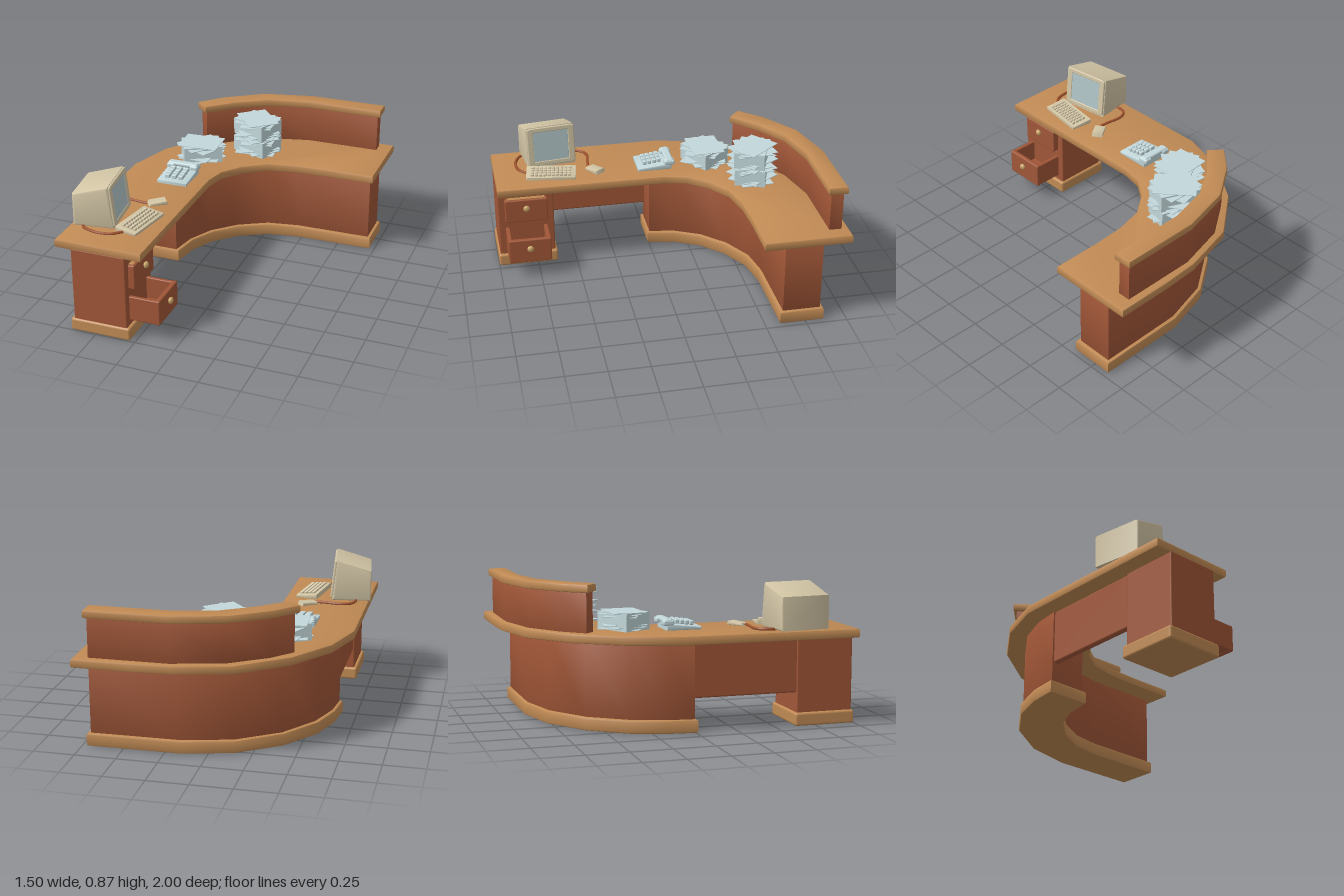
import * as THREE from 'three';
import { toCreasedNormals } from 'three/addons/utils/BufferGeometryUtils.js';
import { RoundedBoxGeometry } from 'three/addons/geometries/RoundedBoxGeometry.js';

const mat = (name, color, side = THREE.FrontSide) => {
  const m = new THREE.MeshStandardMaterial({ color, side });
  m.name = name;
  return m;
};

export function createModel() {
  const trim = mat('light wood', 0xc08a54);
  const wood = mat('red wood', 0xa05637);
  const beige = mat('beige plastic', 0xd2c5a5);
  const pale = mat('pale blue', 0xc2d7da);
  const glass = mat('screen glass', 0xb0c4c6);
  const brass = mat('brass', 0xc9a468);
  const cord = mat('cord', 0xa0522d);

  const root = new THREE.Group();
  root.name = 'receptionDesk';
  const add = (name, geo, m, parent = root, x = 0, y = 0, z = 0) => {
    const mesh = new THREE.Mesh(geo, m);
    mesh.name = name;
    mesh.position.set(x, y, z);
    parent.add(mesh);
    return mesh;
  };
  const group = (name, x, y, z, turn) => {
    const g = new THREE.Group();
    g.name = name;
    g.position.set(x, y, z);
    g.rotation.y = turn;
    root.add(g);
    return g;
  };
  const extrude = (pts, depth, bevel) => {
    const shape = new THREE.Shape(pts.map(p => new THREE.Vector2(p[0], p[1])));
    const g = new THREE.ExtrudeGeometry(shape, {
      depth: depth - 2 * bevel, bevelEnabled: bevel > 0, bevelThickness: bevel,
      bevelSize: bevel, bevelOffset: -bevel, bevelSegments: 2,
    });
    return g.translate(0, 0, bevel);
  };
  // Slab from a plan outline of [x, z] points between two heights
  const slab = (plan, y0, y1, bevel) => {
    const g = extrude(plan.map(([x, z]) => [x, -z]), y1 - y0, bevel);
    return toCreasedNormals(g.rotateX(-Math.PI / 2).translate(0, y0, 0), 0.65);
  };
  // Block with a side profile of [x, y] points, centred along z
  const block = (profile, depth, bevel) =>
    toCreasedNormals(extrude(profile, depth, bevel).translate(0, 0, -depth / 2), 0.5);
  const box = (x, y, z, r) => new RoundedBoxGeometry(x, y, z, 2, r);

  // Curved worktop
  add('worktop', slab([
    [-0.74, 0.99], [-0.74, -0.13], [-0.65, -0.42], [-0.46, -0.69], [-0.17, -0.91],
    [0.17, -0.99], [0.4, -1], [0.75, -1], [0.75, -0.47], [0.45, -0.47], [0.24, -0.46],
    [0.06, -0.42], [-0.08, -0.32], [-0.17, -0.2], [-0.2, -0.06], [-0.2, 0.99],
  ], 0.53, 0.585, 0.012), trim);

  // Curved base cabinet with skirting
  const ribbon = (outer, inner) => [...outer, ...inner.slice().reverse()];
  add('curvedCabinet', slab(ribbon(
    [[-0.64, -0.005], [-0.62, -0.17], [-0.55, -0.37], [-0.39, -0.59], [-0.14, -0.76], [0.16, -0.835], [0.7, -0.84]],
    [[-0.41, -0.005], [-0.38, -0.17], [-0.3, -0.33], [-0.16, -0.47], [0.02, -0.57], [0.22, -0.605], [0.7, -0.61]],
  ), 0.06, 0.54, 0.005), wood);
  add('curvedSkirting', slab(ribbon(
    [[-0.66, 0.01], [-0.64, -0.175], [-0.57, -0.38], [-0.405, -0.605], [-0.148, -0.78], [0.158, -0.857], [0.72, -0.86]],
    [[-0.39, 0.01], [-0.36, -0.165], [-0.285, -0.315], [-0.148, -0.453], [0.028, -0.55], [0.222, -0.585], [0.72, -0.59]],
  ), 0, 0.08, 0.012), trim);

  // Raised counter at the back
  add('hutchWall', slab(ribbon(
    [[-0.46, -0.605], [-0.345, -0.73], [-0.122, -0.88], [0.19, -0.955], [0.66, -0.955]],
    [[-0.41, -0.555], [-0.265, -0.69], [-0.075, -0.815], [0.195, -0.88], [0.66, -0.88]],
  ), 0.58, 0.825, 0.004), wood);
  add('hutchTop', slab(ribbon(
    [[-0.49, -0.605], [-0.36, -0.745], [-0.13, -0.9], [0.19, -0.975], [0.68, -0.975]],
    [[-0.41, -0.535], [-0.25, -0.68], [-0.06, -0.8], [0.2, -0.86], [0.68, -0.86]],
  ), 0.82, 0.87, 0.012), trim);

  // Drawer pedestal and back panel
  add('pedestal', box(0.34, 0.48, 0.355, 0.008), wood, root, -0.47, 0.3, 0.812);
  add('pedestalSkirting', box(0.38, 0.08, 0.38, 0.014), trim, root, -0.47, 0.04, 0.81);
  add('modestyPanel', box(0.04, 0.335, 0.66, 0.012), wood, root, -0.61, 0.3675, 0.315);

  // Drawers: open trays with a thick front and a round knob
  const drawer = (name, y0, y1, reach, knobY) => {
    const g = group(name, -0.3, y0, 0.812, 0);
    const h = y1 - y0;
    add('drawerFront', box(0.03, h, 0.27, 0.008), wood, g, reach - 0.015, h / 2, 0);
    add('drawerFloor', new THREE.BoxGeometry(reach, 0.015, 0.25), wood, g, reach / 2 - 0.01, 0.012, 0);
    for (const s of [-1, 1])
      add('drawerSide', box(reach, h - 0.005, 0.025, 0.006), wood, g, reach / 2 - 0.008, h / 2, s * 0.122);
    add('knobStem', new THREE.CylinderGeometry(0.008, 0.008, 0.02, 10).rotateZ(Math.PI / 2), brass, g, reach + 0.004, knobY - y0, 0);
    add('knob', new THREE.SphereGeometry(0.021, 14, 10).scale(0.7, 1, 1), brass, g, reach + 0.014, knobY - y0, 0);
    return g;
  };
  drawer('lowerDrawer', 0.11, 0.27, 0.19, 0.212);
  const upper = drawer('upperDrawer', 0.32, 0.475, 0.04, 0.42);
  add('drawerLip', new THREE.BoxGeometry(0.03, 0.012, 0.24), trim, upper, 0.012, 0.152, 0);

  // Monitor with sloping top and leaning screen
  const monitor = group('monitor', -0.615, 0.585, 0.63, 0.13);
  add('monitorCase', block([[-0.12, 0.004], [0.13, 0.004], [0.102, 0.272], [-0.12, 0.205]], 0.32, 0.014), beige, monitor);
  const tilt = 0.104;
  const face = new THREE.Group();
  face.name = 'monitorFace';
  face.position.set(0.117, 0.142, 0);
  face.rotation.z = tilt;
  monitor.add(face);
  for (const s of [-1, 1]) {
    add('bezelUpright', box(0.016, 0.245, 0.04, 0.006), beige, face, 0.002, 0, s * 0.133);
    add('bezelRail', box(0.016, 0.03, 0.28, 0.006), beige, face, 0.002, s * 0.112, 0);
  }
  add('screen', box(0.009, 0.205, 0.23, 0.004), glass, face, 0.002, 0, 0);

  // Keyboard with rows of keys
  const keyboard = group('keyboard', -0.36, 0.585, 0.635, -0.15);
  add('keyboardCase', block([[-0.07, 0], [0.07, 0], [0.07, 0.016], [-0.07, 0.032]], 0.315, 0.005), beige, keyboard);
  const key = box(0.02, 0.016, 0.02, 0.004);
  for (let i = 0; i < 4; i++)
    for (let j = 0; j < 10; j++)
      add('key', key, beige, keyboard, -0.036 + i * 0.026, 0.033 - i * 0.003, -0.117 + j * 0.026);

  // Mouse and cords
  const mouse = group('mouse', -0.37, 0.585, 0.355, 0.6);
  add('mouseBody', block([[-0.058, 0], [0.058, 0], [0.05, 0.024], [-0.05, 0.016]], 0.072, 0.006), beige, mouse);
  const cords = {
    mouseCord: [[-0.42, 0.39], [-0.49, 0.385], [-0.58, 0.375], [-0.64, 0.4], [-0.66, 0.45], [-0.65, 0.52]],
    keyboardCord: [[-0.4, 0.785], [-0.45, 0.83], [-0.53, 0.845], [-0.6, 0.83], [-0.65, 0.8], [-0.65, 0.76]],
  };
  for (const [name, pts] of Object.entries(cords)) {
    const path = new THREE.CatmullRomCurve3(pts.map(([x, z]) => new THREE.Vector3(x, 0.594, z)));
    add(name, new THREE.TubeGeometry(path, 28, 0.009, 6), cord);
  }

  // Telephone: wedge body (long side across x), handset and keypad
  const phone = group('telephone', -0.395, 0.585, -0.03, 0);
  add('phoneBody', block([[-0.115, 0], [0.1, 0], [0.1, 0.04], [-0.115, 0.018]], 0.2, 0.007).rotateY(Math.PI / 2), pale, phone);
  add('handsetBar', box(0.2, 0.028, 0.05, 0.012), pale, phone, 0, 0.055, -0.088);
  for (const s of [-1, 1])
    add('handsetEnd', box(0.055, 0.035, 0.068, 0.012), pale, phone, s * 0.077, 0.045, -0.088);
  const phoneKey = box(0.034, 0.026, 0.025, 0.006);
  for (let i = -1; i <= 1; i++)
    for (let j = 0; j < 4; j++)
      add('phoneKey', phoneKey, pale, phone, i * 0.044, 0.048 - j * 0.004, -0.024 + j * 0.03);

  // Paper piles: thick bundle with fanned loose sheets
  const bundle = new THREE.BoxGeometry(0.245, 0.105, 0.19);
  const sheet = new THREE.BoxGeometry(0.255, 0.004, 0.2);
  const pile = (x, y, z, turn) => {
    const g = group('paperPile', x, y, z, turn);
    add('paperBundle', bundle, pale, g, 0, 0.0575, 0);
    [0.45, -0.4, 0.95].forEach((a, i) => {
      for (const [h, dir] of [[0.012 + i * 0.012, 1], [0.111 - i * 0.012, -1]]) {
        const s = add('looseSheet', sheet, pale, g, 0, h, 0);
        s.rotation.y = a * dir;
      }
    });
  };
  pile(-0.37, 0.585, -0.36, 0.5);
  pile(-0.07, 0.585, -0.6, -0.36);
  pile(-0.07, 0.7, -0.6, -0.42);

  return root;
}
